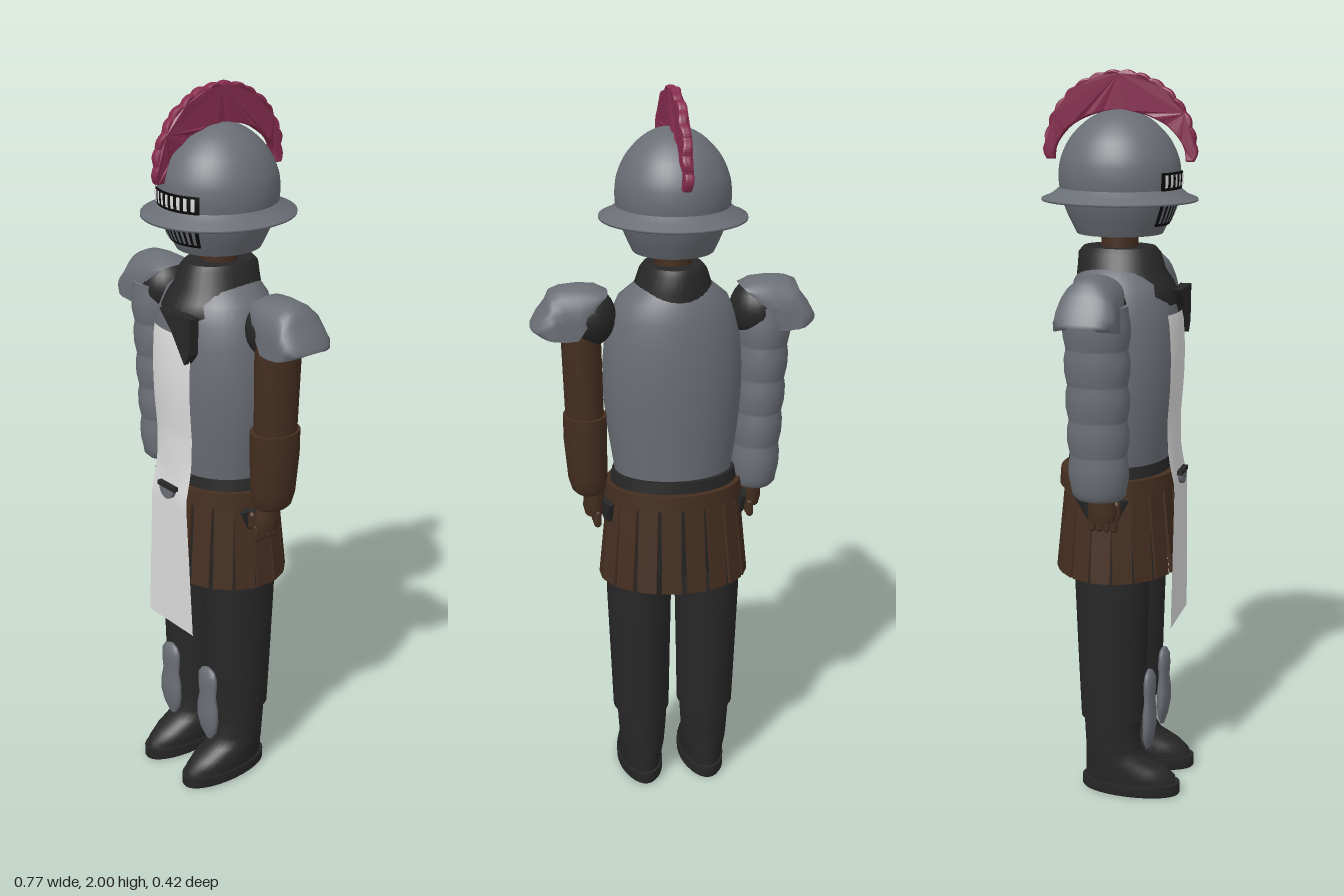
import * as THREE from 'three';

const mat = (name, color, side = THREE.FrontSide) => {
  const m = new THREE.MeshStandardMaterial({ color, side });
  m.name = name;
  return m;
};

// Stack of ellipses, bottom to top: each section is [y, centreX, centreZ, radiusX, radiusZ]
function loft(sections, n = 32) {
  const pos = [], idx = [];
  const ring = ([y, cx, cz, rx, rz]) => {
    for (let i = 0; i < n; i++) {
      const a = (i / n) * Math.PI * 2;
      pos.push(cx + rx * Math.sin(a), y, cz + rz * Math.cos(a));
    }
  };
  sections.forEach(ring);
  for (let j = 0; j < sections.length - 1; j++) {
    for (let i = 0; i < n; i++) {
      const a = j * n + i, b = j * n + (i + 1) % n;
      idx.push(a, b, b + n, a, b + n, a + n);
    }
  }
  // Separate cap rings keep the end edges crisp
  [sections[0], sections[sections.length - 1]].forEach((s, top) => {
    const start = pos.length / 3;
    ring(s);
    pos.push(s[1], s[0], s[2]);
    for (let i = 0; i < n; i++) {
      const a = start + i, b = start + (i + 1) % n;
      idx.push(...(top ? [a, b, start + n] : [b, a, start + n]));
    }
  });
  const g = new THREE.BufferGeometry();
  g.setAttribute('position', new THREE.Float32BufferAttribute(pos, 3));
  g.setIndex(idx);
  g.computeVertexNormals();
  return g;
}

export function createModel() {
  const root = new THREE.Group();
  root.name = 'armouredFigure';
  const steel = mat('steel', 0x6a6e75, THREE.DoubleSide);
  const black = mat('blackCloth', 0x272727);
  const leather = mat('brownLeather', 0x452e20);
  const white = mat('whiteCloth', 0xdcdcdc, THREE.DoubleSide);
  const plumeRed = mat('plumeRed', 0x862c4e);
  const dark = mat('visorBlack', 0x0b0b0b);

  const add = (name, geometry, material, parent = root) => {
    const m = new THREE.Mesh(geometry, material);
    m.name = name;
    parent.add(m);
    return m;
  };

  // Helmet, brim and head
  const helmR = [[1.575, .108], [1.6, .12], [1.63, .133], [1.66, .143], [1.69, .15], [1.72, .153], [1.745, .152],
    [1.77, .148], [1.8, .137], [1.83, .12], [1.86, .093], [1.88, .067], [1.893, .038], [1.9, 0]];
  const helmCurve = new THREE.SplineCurve(helmR.map(([y, r]) => new THREE.Vector2(r, y)));
  const shell = (points, phi, len, segs) =>
    new THREE.LatheGeometry(points, segs, phi - len / 2, len).scale(1, 1, 1.07);
  add('helmet', shell(helmCurve.getPoints(40), 0, Math.PI * 2, 48), steel);
  const rim = [[.15, 1.672], [.196, 1.662], [.196, 1.668], [.172, 1.678], [.15, 1.697]];
  add('helmetBrim', shell(rim.map(p => new THREE.Vector2(...p)), 0, Math.PI * 2, 48), steel);
  add('head', new THREE.SphereGeometry(.1, 24, 16).translate(0, 1.67, 0), white);
  add('neck', new THREE.CylinderGeometry(.05, .05, .12, 24).translate(0, 1.54, 0), leather);

  // Visor grilles: curved dark panels with thin upright slits
  const radiusAt = y => {
    const i = Math.max(1, helmR.findIndex(p => p[0] >= y));
    const [a, b] = [helmR[i - 1], helmR[i]];
    return a[1] + (b[1] - a[1]) * (y - a[0]) / (b[0] - a[0]);
  };
  const patch = (y0, y1, off, phi, len, segs) => shell(
    [0, 1, 2, 3].map(k => y0 + (y1 - y0) * k / 3).map(y => new THREE.Vector2(radiusAt(y) + off, y)), phi, len, segs);
  [['upper', 1.695, 1.742, 1.26, 9, white], ['lower', 1.6, 1.662, 1.16, 9, steel]].forEach(
    ([name, y0, y1, len, count, slit]) => {
      add(name + 'Visor', patch(y0, y1, .004, 0, len, 20), dark);
      for (let i = 0; i < count; i++) {
        const phi = ((i + .5) / count - .5) * len * .93;
        add(name + 'VisorSlit', patch(y0 + .008, y1 - .006, .006, phi, .065, 2), slit);
      }
    });

  // Scalloped crest
  const outline = [], steps = 120;
  for (let i = 0; i <= steps; i++) {
    const t = i / steps, a = -.1 + t * (Math.PI + .2);
    const r = .2 + .006 * Math.abs(Math.sin(t * Math.PI * 16));
    outline.push(new THREE.Vector2(r * Math.cos(a), 1.79 + r * Math.sin(a)));
  }
  for (let i = 0; i <= 40; i++) {
    const a = Math.PI * (1 - i / 40);
    outline.push(new THREE.Vector2(.183 * Math.cos(a), 1.77 + .128 * Math.sin(a)));
  }
  const crest = new THREE.ExtrudeGeometry(new THREE.Shape(outline),
    { depth: .012, bevelEnabled: true, bevelThickness: .006, bevelSize: .004, bevelSegments: 2 });
  crest.translate(0, 0, -.006).rotateY(-Math.PI / 2);
  const cp = crest.attributes.position;
  for (let i = 0; i < cp.count; i++) {
    cp.setX(i, cp.getX(i) + .003 * Math.sin(Math.atan2(cp.getZ(i), cp.getY(i) - 1.78) * 14));
  }
  crest.computeVertexNormals();
  add('crest', crest, plumeRed);

  // Breastplate, collar and waist
  add('breastplate', loft([[.95, 0, .005, .16, .13], [1, 0, .007, .168, .135], [1.08, 0, .01, .18, .144],
    [1.17, 0, .012, .19, .152], [1.26, 0, .012, .191, .154], [1.34, 0, .011, .184, .15], [1.4, 0, .01, .17, .142],
    [1.45, 0, .006, .148, .128], [1.49, 0, 0, .1, .1]], 40), steel);
  add('collar', loft([[1.39, 0, .022, .125, .135], [1.42, 0, .02, .132, .14], [1.45, 0, .014, .122, .132],
    [1.48, 0, .005, .105, .12], [1.525, 0, 0, .09, .112], [1.54, 0, 0, .078, .098]]), black);
  const tail = new THREE.Shape([[-.03, 1.43], [.02, 1.38], [.075, 1.30], [.095, 1.33], [.1, 1.43]]
    .map(p => new THREE.Vector2(...p)));
  add('neckerchiefTail', new THREE.ExtrudeGeometry(tail, { depth: .03, bevelEnabled: false }).translate(0, 0, .145), black);
  add('waist', loft([[.92, 0, 0, .178, .142], [.965, 0, 0, .17, .138]]), black);
  add('belt', loft([[.89, 0, 0, .192, .163], [.933, 0, 0, .188, .16]], 40), leather);
  add('hips', loft([[.68, 0, 0, .16, .115], [.8, 0, 0, .172, .135], [.9, 0, 0, .17, .14]]), black);

  // Leather strip skirt
  const strips = 18;
  for (let i = 0; i < strips; i++) {
    const a = ((i + .5) / strips) * Math.PI * 2;
    const strip = add('skirtStrip', new THREE.BoxGeometry(.054, .265, .008), leather);
    strip.position.set(.19 * Math.sin(a), .782, .154 * Math.cos(a));
    strip.rotation.set(-.1, Math.atan2(Math.sin(a) / .19, Math.cos(a) / .154), 0, 'YXZ');
  }

  // Tabard: one cloth sheet hanging over the chest and belt
  const cloth = new THREE.PlaneGeometry(1, .87, 10, 30).translate(0, .935, 0);
  const p = cloth.attributes.position;
  const hang = [[.5, .172], [.9, .174], [.95, .168], [1.08, .166], [1.18, .174], [1.26, .176], [1.34, .172], [1.4, .163]];
  for (let i = 0; i < p.count; i++) {
    const y = p.getY(i), k = Math.max(1, hang.findIndex(h => h[0] >= y));
    const [h0, h1] = [hang[k - 1], hang[k]];
    const x = p.getX(i) * 2 * (y < .93 ? .075 + (.93 - y) * .058 : .075 + (y - .93) * .015);
    const bend = THREE.MathUtils.clamp((y - .9) / .1, 0, 1) * 2.2 * x * x;
    p.setXYZ(i, x, y, h0[1] + (h1[1] - h0[1]) * (y - h0[0]) / (h1[0] - h0[0]) - bend);
  }
  cloth.computeVertexNormals();
  add('tabard', cloth, white);
  const buckle = new THREE.Shape().absarc(0, 0, .03, Math.PI, Math.PI * 2);
  add('buckle', new THREE.ExtrudeGeometry(buckle, { depth: .012, bevelEnabled: false }).translate(0, .922, .172), steel);
  add('buckleBar', new THREE.BoxGeometry(.075, .012, .014).translate(0, .928, .178), black);

  // Shoulder plate: arched sections between a ridge line and a lower edge [topX, topY, lowX, lowY, halfDepth]
  const lames = [[.178, 1.475, .2, 1.455, .055], [.21, 1.492, .23, 1.41, .074], [.255, 1.497, .265, 1.36, .079],
    [.305, 1.493, .298, 1.358, .08], [.332, 1.482, .315, 1.36, .08], [.343, 1.455, .33, 1.362, .083],
    [.366, 1.425, .345, 1.366, .081], [.384, 1.392, .36, 1.37, .066], [.385, 1.382, .372, 1.374, .04]];
  const arcN = 16;
  const plate = new THREE.PlaneGeometry(1, 1, arcN, lames.length - 1);
  lames.forEach(([tx, ty, lx, ly, d], j) => {
    for (let i = 0; i <= arcN; i++) {
      const a = (i / arcN - .5) * Math.PI, drop = 1 - Math.pow(Math.cos(a), .6);
      plate.attributes.position.setXYZ(j * (arcN + 1) + i,
        tx + (lx - tx) * drop, ty + (ly - ty) * drop, -d * Math.sin(a));
    }
  });
  plate.computeVertexNormals();

  for (const s of [1, -1]) {
    const side = s > 0 ? 'left' : 'right';
    // Leg, boot and knee guard
    add(side + 'Leg', loft([[.225, s * .094, .008, .08, .092], [.4, s * .096, .006, .085, .097],
      [.6, s * .098, .005, .091, .103], [.75, s * .098, .005, .09, .105]]), black);
    add(side + 'Boot', loft([[.018, s * .092, .058, .058, .13], [.05, s * .092, .056, .062, .13],
      [.075, s * .092, .042, .064, .115], [.1, s * .092, .016, .065, .088], [.13, s * .092, .006, .066, .078],
      [.19, s * .092, .003, .07, .078], [.25, s * .092, .003, .073, .08]]), black);
    add(side + 'Sole', loft([[0, s * .092, .058, .058, .138], [.006, s * .092, .058, .064, .142],
      [.035, s * .092, .058, .064, .142]]), black);
    add(side + 'KneeGuard', loft([[.13, 0, .105, .012, .006], [.16, 0, .107, .034, .014], [.2, 0, .11, .044, .018],
      [.24, 0, .11, .042, .018], [.275, 0, .11, .034, .014], [.31, 0, .11, .038, .016], [.34, 0, .11, .038, .015],
      [.357, 0, .108, .028, .01], [.364, 0, .107, .012, .005]], 20), steel).position.x = s * .087;

    // Shoulder
    add(side + 'ShoulderPadding', new THREE.SphereGeometry(1, 24, 16).scale(.075, .082, .078)
      .translate(s * .23, 1.405, 0), black);
    add(side + 'ShoulderPlate', plate, steel).scale.x = s;

    // Hand
    const hand = new THREE.Group();
    hand.name = side + 'Hand';
    hand.position.x = s * .222;
    root.add(hand);
    add('palm', loft([[.835, 0, .012, .024, .034], [.86, 0, .012, .03, .04], [.89, 0, .008, .028, .036],
      [.93, 0, .005, .03, .034]], 16), leather, hand);
    for (let i = 0; i < 4; i++) {
      add('finger', new THREE.CapsuleGeometry(.0105, .03, 4, 8).translate(-s * .006, .828, -.018 + i * .02), leather, hand);
    }
    add('thumb', new THREE.CapsuleGeometry(.011, .03, 4, 8).translate(-s * .022, .86, .045), leather, hand);
    add(side + 'HipPouch', loft([[.828, s * .183, 0, .016, .045], [.885, s * .187, 0, .016, .075]], 16), black);
  }

  // Left arm: leather sleeve and bracer
  add('leftUpperArm', loft([[1.1, .243, .004, .052, .06], [1.25, .247, .004, .053, .064], [1.43, .252, .004, .054, .068]]), leather);
  add('leftBracer', loft([[.905, .236, .005, .036, .045], [.915, .236, .005, .046, .056], [.95, .238, .005, .054, .064],
    [1.06, .243, .005, .059, .071], [1.13, .243, .005, .059, .072]]), leather);

  // Right arm: ridged steel sleeve
  const sleeve = [[.9, .05], [.912, .06]];
  for (let j = 0; j < 5; j++) {
    const y = .93 + j * .095, r = .064 + j * .0018;
    sleeve.push([y, r - .002], [y + .03, r + .003], [y + .065, r + .003], [y + .088, r - .001]);
  }
  sleeve.push([1.42, .07]);
  add('rightArmSleeve', loft(sleeve.map(([y, r]) => [y, -.229 - (y - .9) * .045, .005, r, r * 1.2])), steel);

  return root;
}
